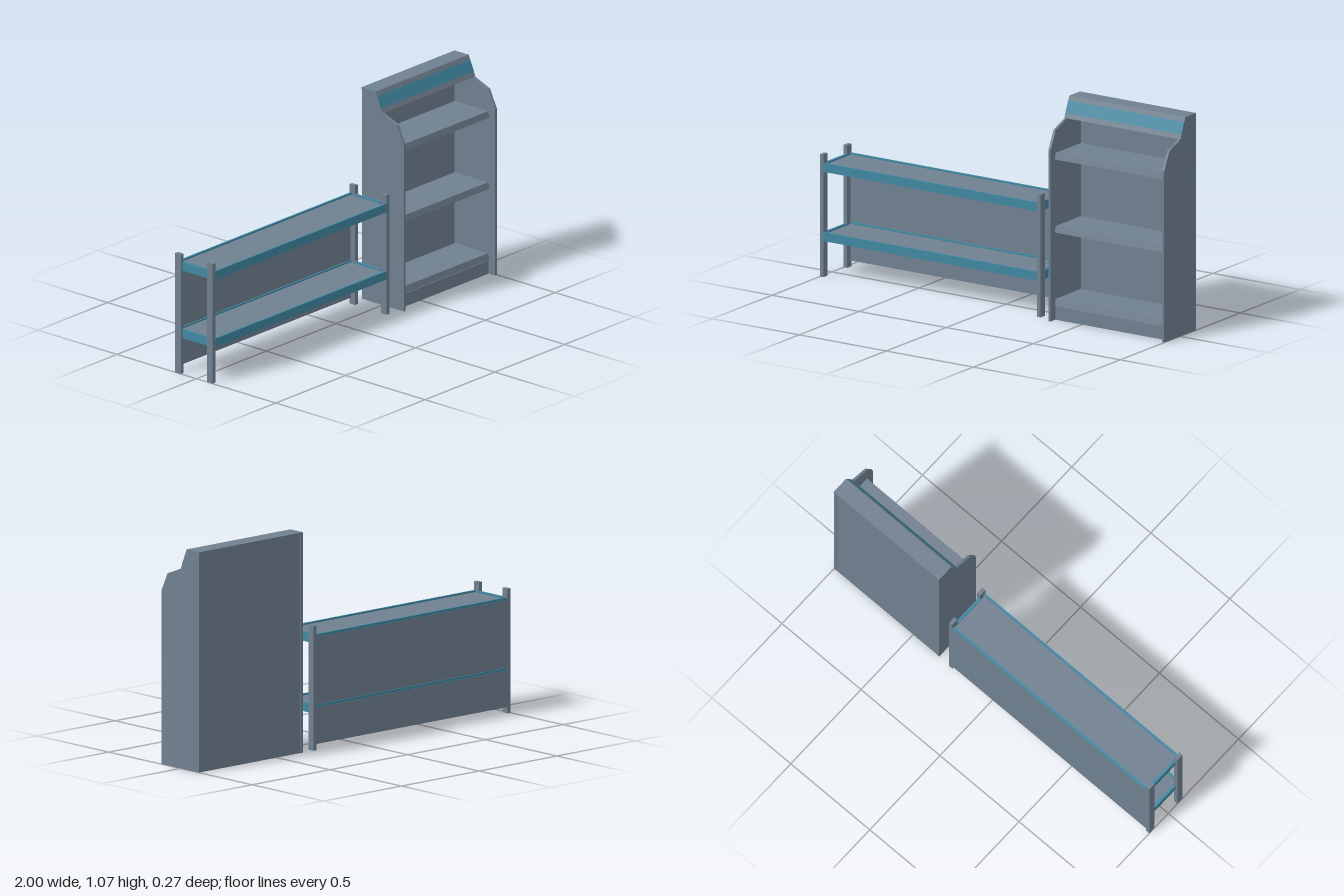
import * as THREE from 'three';

const slate = new THREE.MeshStandardMaterial({ color: 0x708090 });
slate.name = 'slate grey metal';
const teal = new THREE.MeshStandardMaterial({ color: 0x4088a2 });
teal.name = 'teal trim';

// Box given by its minimum and maximum on each axis
function box(name, mat, [x0, x1], [y0, y1], [z0, z1]) {
  const mesh = new THREE.Mesh(new THREE.BoxGeometry(x1 - x0, y1 - y0, z1 - z0), mat);
  mesh.position.set((x0 + x1) / 2, (y0 + y1) / 2, (z0 + z1) / 2);
  mesh.name = name;
  return mesh;
}

// Side profile of [z, y] points, extruded along x
function profile(name, mat, [x0, x1], points) {
  const shape = new THREE.Shape(points.map(([z, y]) => new THREE.Vector2(-z, y)));
  const geo = new THREE.ExtrudeGeometry(shape, { depth: x1 - x0, bevelEnabled: false });
  geo.rotateY(Math.PI / 2);
  const mesh = new THREE.Mesh(geo, mat);
  mesh.position.x = x0;
  mesh.name = name;
  return mesh;
}

function createLowRack() {
  const rack = new THREE.Group();
  rack.name = 'lowRack';
  const inner = [-0.98, 0.248];

  // Four corner posts
  for (const x of [[-1, -0.98], [0.248, 0.267]])
    for (const z of [[-0.134, -0.098], [0.065, 0.101]])
      rack.add(box('post', slate, x, [0, 0.602], z));

  // Two decks, each framed by teal beams that stand slightly proud
  for (const top of [0.22, 0.56]) {
    const y = [top - 0.043, top];
    rack.add(box('frontBeam', teal, inner, y, [0.09, 0.1]));
    rack.add(box('backBeam', teal, inner, y, [-0.132, -0.122]));
    rack.add(box('endBeam', teal, [-0.988, -0.975], y, [-0.098, 0.065]));
    rack.add(box('endBeam', teal, [0.243, 0.256], y, [-0.098, 0.065]));
    rack.add(box('deck', slate, [-0.975, 0.243], [top - 0.03, top - 0.008], [-0.122, 0.09]));
  }

  // Back panels, leaving the top of each beam exposed
  rack.add(box('lowerBackPanel', slate, inner, [0.03, 0.207], [-0.134, -0.126]));
  rack.add(box('upperBackPanel', slate, inner, [0.222, 0.547], [-0.134, -0.126]));
  return rack;
}

function createTallShelf() {
  const unit = new THREE.Group();
  unit.name = 'tallShelf';
  const inner = [0.347, 0.987];

  // Stepped side panels
  const side = [[0.133, 0], [0.133, 0.84], [0.09, 0.93], [-0.003, 0.967],
    [-0.045, 1.066], [-0.131, 1.066], [-0.131, 0]];
  unit.add(profile('sidePanel', slate, [0.334, 0.347], side));
  unit.add(profile('sidePanel', slate, [0.987, 1], side));
  unit.add(box('backPanel', slate, [0.349, 0.985], [0, 1.06], [-0.129, -0.119]));

  // Sloped header across the full width, with a thin teal band
  unit.add(profile('header', slate, [0.333, 1], [[-0.002, 0.967], [-0.044, 1.067],
    [-0.133, 1.067], [-0.133, 1.055], [-0.118, 1.055], [-0.118, 0.967]]));
  const slope = (y) => -0.002 - (y - 0.967) * 0.42;
  unit.add(profile('headerBand', teal, [0.333, 1], [[slope(0.99) + 0.001, 0.99],
    [slope(1.045) + 0.001, 1.045], [slope(1.045) - 0.001, 1.045], [slope(0.99) - 0.001, 0.99]]));

  // Shelves with slightly sloped front edges
  for (const top of [0.102, 0.46, 0.819])
    unit.add(profile('shelf', slate, inner, [[0.098, top - 0.031], [0.09, top],
      [-0.119, top], [-0.119, top - 0.031]]));

  // Kick plate below the bottom shelf
  unit.add(box('kickPlate', slate, inner, [0, 0.066], [0.083, 0.093]));
  return unit;
}

export function createModel() {
  const model = new THREE.Group();
  model.name = 'shopShelving';
  model.add(createLowRack(), createTallShelf());
  return model;
}
